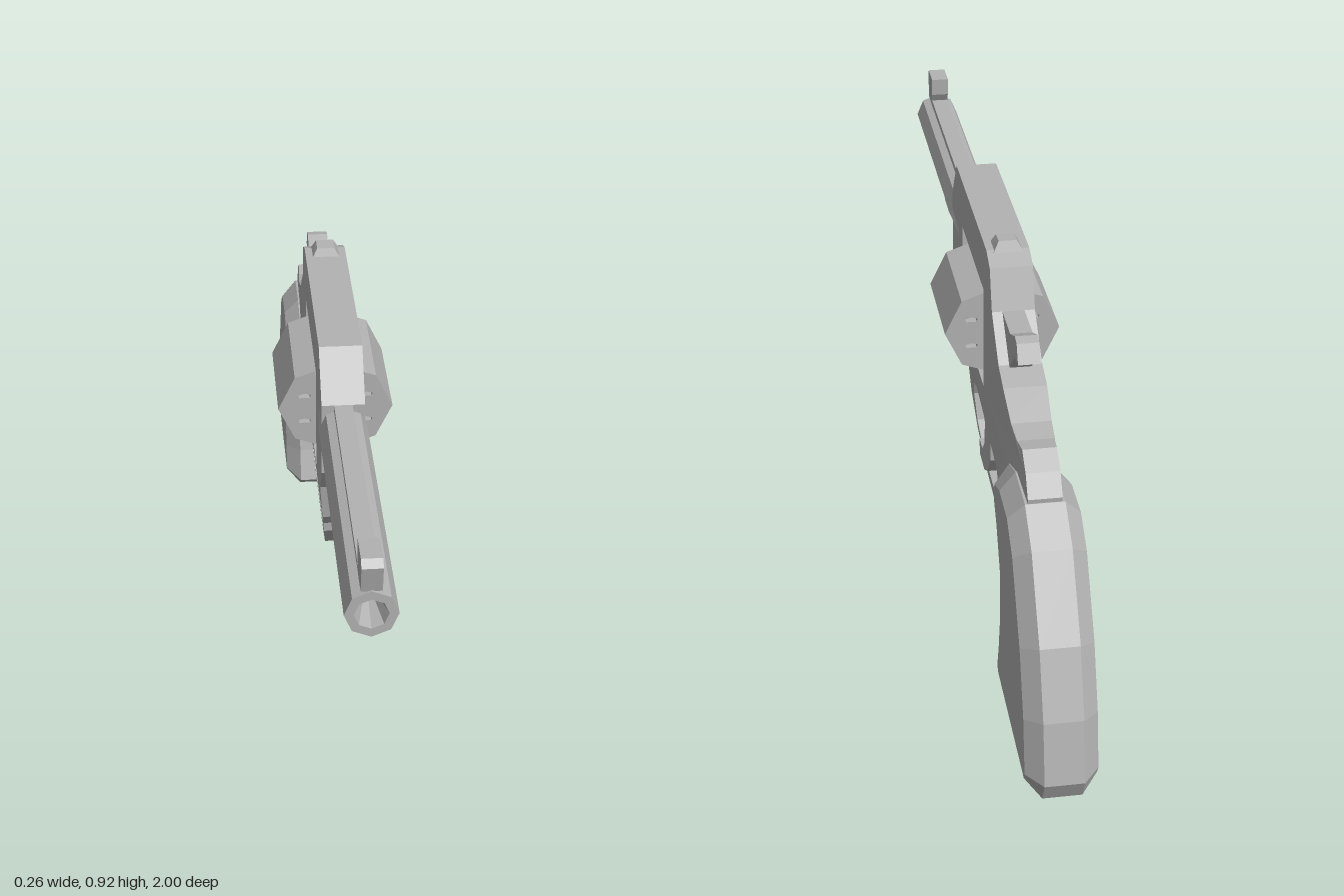
import * as THREE from 'three';

const steel = new THREE.MeshStandardMaterial({ color: 0xb2b2b2 });
steel.name = 'grey steel';

const lerp = THREE.MathUtils.mapLinear;
const clamp = THREE.MathUtils.clamp;
const points = (list) => list.map(([a, b]) => new THREE.Vector2(a, b));

// Flat-faceted mesh
function part(name, geometry) {
  const g = geometry.index ? geometry.toNonIndexed() : geometry;
  g.computeVertexNormals();
  const mesh = new THREE.Mesh(g, steel);
  mesh.name = name;
  return mesh;
}

// Side profile in (z, y), extruded across x; halfWidth may be a rule of (y, z)
function plate(name, outline, halfWidth, holes = [], centreX = 0) {
  const shape = new THREE.Shape(points(outline));
  for (const h of holes) shape.holes.push(new THREE.Path(points(h)));
  const g = new THREE.ExtrudeGeometry(shape, { depth: 2, bevelEnabled: false });
  g.translate(0, 0, -1).rotateY(-Math.PI / 2);
  const p = g.attributes.position;
  for (let i = 0; i < p.count; i++) {
    const w = typeof halfWidth === 'number' ? halfWidth : halfWidth(p.getY(i), p.getZ(i));
    p.setX(i, centreX + p.getX(i) * w);
  }
  return part(name, g);
}

// Profile of (radius, z) turned about the z axis
function turned(name, profile, sides, y) {
  const g = new THREE.LatheGeometry(points(profile), sides);
  g.rotateX(Math.PI / 2).translate(0, y, 0);
  return part(name, g);
}

export function createModel() {
  const model = new THREE.Group();
  model.name = 'revolver';

  // Frame with the cylinder window, thinner at the belly and backstrap
  model.add(plate('frame', [
    [0.32, 0.8], [0.24, 0.9], [-0.235, 0.9], [-0.285, 0.88], [-0.315, 0.79],
    [-0.41, 0.71], [-0.475, 0.69], [-0.555, 0.65], [-0.61, 0.64], [-0.655, 0.645],
    [-0.7, 0.615], [-0.73, 0.57], [-0.72, 0.48], [-0.6, 0.4], [-0.53, 0.405], [-0.39, 0.42],
    [-0.285, 0.4], [-0.1, 0.43], [-0.02, 0.445], [0.05, 0.42], [0.14, 0.42],
    [0.22, 0.43], [0.255, 0.47], [0.27, 0.56], [0.32, 0.63],
  ], (y, z) => Math.min(
    clamp(lerp(y, 0.43, 0.54, 0.037, 0.047), 0.036, 0.047),
    clamp(lerp(z, -0.65, -0.5, 0.036, 0.047), 0.036, 0.047),
  ), [[[0.145, 0.785], [0.145, 0.54], [-0.19, 0.54], [-0.19, 0.785]]]));

  // Trigger guard band, narrowing downwards
  model.add(plate('triggerGuard', [
    [0.14, 0.43], [0.135, 0.35], [0.075, 0.28], [-0.06, 0.23], [-0.2, 0.215],
    [-0.295, 0.24], [-0.345, 0.32], [-0.365, 0.39], [-0.39, 0.43], [-0.28, 0.42],
    [-0.285, 0.33], [-0.235, 0.265], [-0.15, 0.258], [-0.02, 0.265],
    [0.06, 0.31], [0.075, 0.375], [0.05, 0.43],
  ], (y) => clamp(lerp(y, 0.215, 0.43, 0.017, 0.036), 0.017, 0.036)));

  model.add(plate('trigger', [
    [-0.09, 0.45], [-0.19, 0.43], [-0.185, 0.34], [-0.14, 0.285], [-0.09, 0.26],
    [-0.02, 0.262], [-0.012, 0.3], [-0.06, 0.3], [-0.095, 0.335], [-0.1, 0.39],
  ], 0.019, [], 0.012));

  model.add(plate('hammer', [
    [-0.29, 0.79], [-0.42, 0.79], [-0.48, 0.815], [-0.505, 0.81], [-0.525, 0.77],
    [-0.475, 0.765], [-0.41, 0.7], [-0.32, 0.72],
  ], 0.024));

  // Barrel with a conical bore, and the rib along its top
  model.add(turned('barrel', [
    [0, 0.15], [0.045, 0.15], [0.053, 0.32], [0.053, 0.99], [0.034, 0.99], [0, 0.87],
  ], 8, 0.74));
  const rib = part('barrelRib', new THREE.BoxGeometry(0.04, 0.04, 0.66));
  rib.position.set(0, 0.78, 0.64);
  model.add(rib);

  // Sights
  model.add(plate('frontSight', [
    [0.985, 0.79], [0.998, 0.85], [0.985, 0.865], [0.915, 0.863], [0.918, 0.82], [0.935, 0.79],
  ], 0.021));
  model.add(plate('rearSight', [
    [-0.185, 0.895], [-0.195, 0.918], [-0.235, 0.92], [-0.245, 0.895],
  ], (y) => (y > 0.91 ? 0.02 : 0.033)));

  // Ejector rod and its thicker head
  const rod = turned('ejectorRod', [
    [0, 0.28], [0.026, 0.28], [0.026, 0.49], [0.033, 0.495], [0.033, 0.58], [0, 0.58],
  ], 6, 0);
  rod.rotation.z = Math.PI / 6;
  rod.position.y = 0.665;
  model.add(rod);

  // Eight-sided cylinder pierced by narrow chamber slots
  const drum = new THREE.Shape();
  for (let i = 0; i < 8; i++) {
    const a = i * Math.PI / 4;
    drum[i ? 'lineTo' : 'moveTo'](0.13 * Math.cos(a), 0.112 * Math.sin(a));
  }
  for (const sx of [-1, 1]) {
    for (const y of [0.031, -0.034]) {
      drum.holes.push(new THREE.Path(points([
        [sx * 0.056, y + 0.004], [sx * 0.07, y + 0.007], [sx * 0.085, y + 0.003],
        [sx * 0.082, y - 0.004], [sx * 0.058, y - 0.004],
      ])));
    }
  }
  const drumGeometry = new THREE.ExtrudeGeometry(drum, { depth: 0.262, bevelEnabled: false });
  drumGeometry.translate(0, 0.664, -0.162);
  model.add(part('cylinder', drumGeometry));

  // Grip with broad chamfered edges
  const gripShape = new THREE.Shape(points([
    [-0.5, 0.49], [-0.525, 0.535], [-0.61, 0.565], [-0.73, 0.56], [-0.815, 0.5],
    [-0.92, 0.335], [-0.975, 0.19], [-1, 0.05], [-0.975, 0], [-0.595, 0.015],
    [-0.55, 0.05], [-0.575, 0.13], [-0.595, 0.225], [-0.59, 0.32], [-0.545, 0.4], [-0.51, 0.44],
  ]));
  const gripGeometry = new THREE.ExtrudeGeometry(gripShape, {
    depth: 0.084, bevelThickness: 0.035, bevelSize: 0.038, bevelOffset: -0.038, bevelSegments: 1,
  });
  gripGeometry.translate(0, 0, -0.042).rotateY(-Math.PI / 2);
  model.add(part('grip', gripGeometry));

  return model;
}
